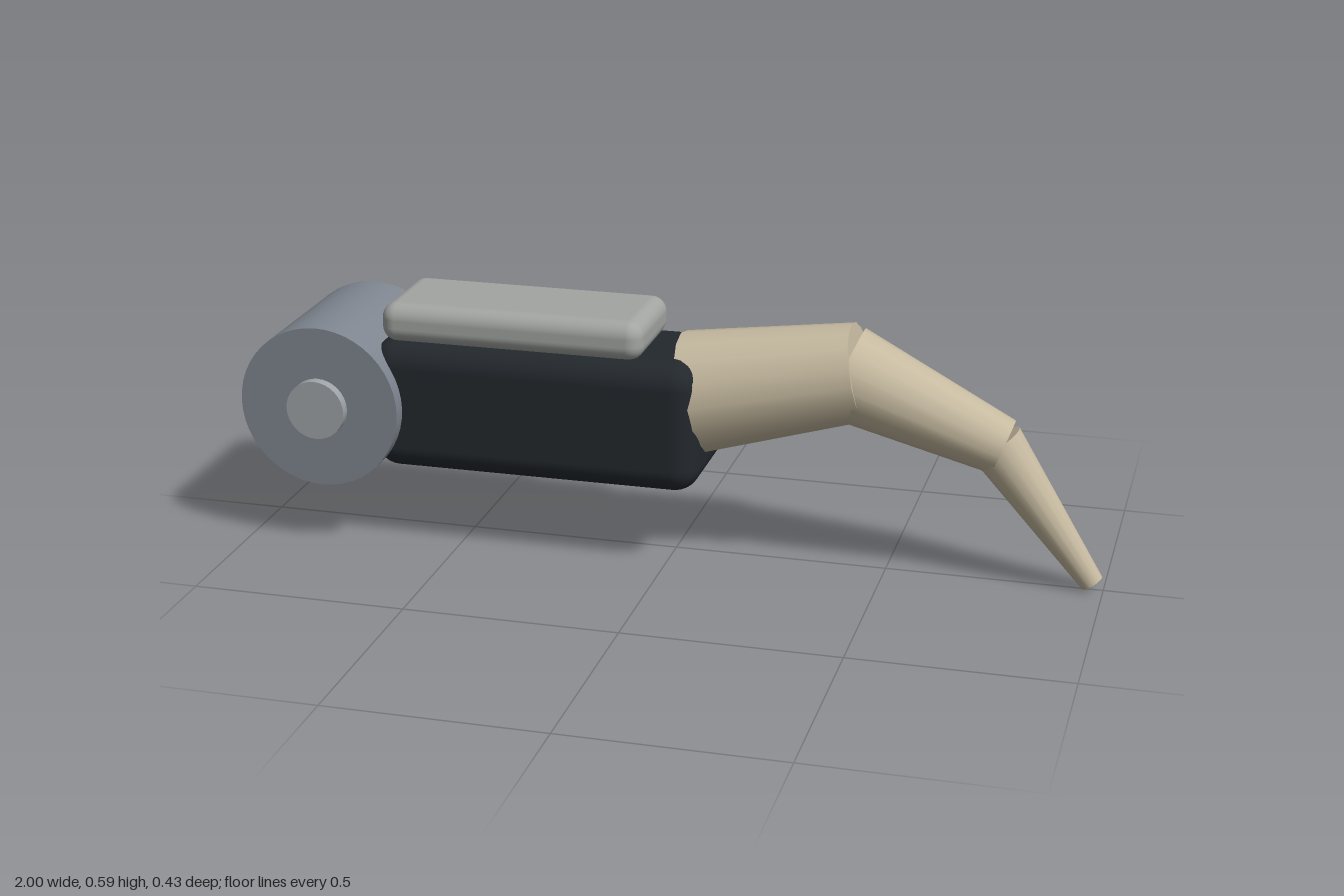
import * as THREE from 'three';
import { RoundedBoxGeometry } from 'three/addons/geometries/RoundedBoxGeometry.js';

export function createModel() {
  const model = new THREE.Group();
  model.name = 'jointedFinger';

  const mat = (color) => new THREE.MeshStandardMaterial({ color });
  const steel = mat(0x7f8690);
  const pinGrey = mat(0x9ea4a8);
  const dark = mat(0x23282d);
  const plateGrey = mat(0xa2a5a2);
  const tan = mat(0xc6baa0);

  const add = (name, geometry, material, x, y, z = 0) => {
    const mesh = new THREE.Mesh(geometry, material);
    mesh.name = name;
    mesh.position.set(x, y, z);
    model.add(mesh);
    return mesh;
  };

  // Hinge drum with a pin running through it, both along z
  const drum = (name, radius, length, sides, material) => {
    const geometry = new THREE.CylinderGeometry(radius, radius, length, sides);
    add(name, geometry.rotateX(Math.PI / 2), material, -0.808, 0.345);
  };
  drum('hingeDrum', 0.192, 0.384, 48, steel);
  drum('hingePin', 0.07, 0.432, 32, pinGrey);

  // Rounded housing and the plate sunk into its top
  add('housing', new RoundedBoxGeometry(0.783, 0.311, 0.312, 5, 0.06), dark, -0.309, 0.345);
  add('topPlate', new RoundedBoxGeometry(0.626, 0.093, 0.262, 5, 0.037), plateGrey, -0.363, 0.539);

  // Tapered segments: name, start [x, y], start radius, end [x, y], end radius
  const segments = [
    ['baseSegment', [0.04, 0.394], 0.143, [0.43, 0.476], 0.113],
    ['middleSegment', [0.394, 0.472], 0.11, [0.759, 0.326], 0.066],
    ['tipSegment', [0.742, 0.334], 0.064, [0.974, 0.0175], 0.027],
  ];
  const up = new THREE.Vector3(0, 1, 0);
  for (const [name, a, r0, b, r1] of segments) {
    const start = new THREE.Vector3(a[0], a[1], 0);
    const axis = new THREE.Vector3(b[0], b[1], 0).sub(start);
    const geometry = new THREE.CylinderGeometry(r1, r0, axis.length(), 16);
    const mesh = add(name, geometry, tan, (a[0] + b[0]) / 2, (a[1] + b[1]) / 2);
    mesh.quaternion.setFromUnitVectors(up, axis.normalize());
  }

  return model;
}
